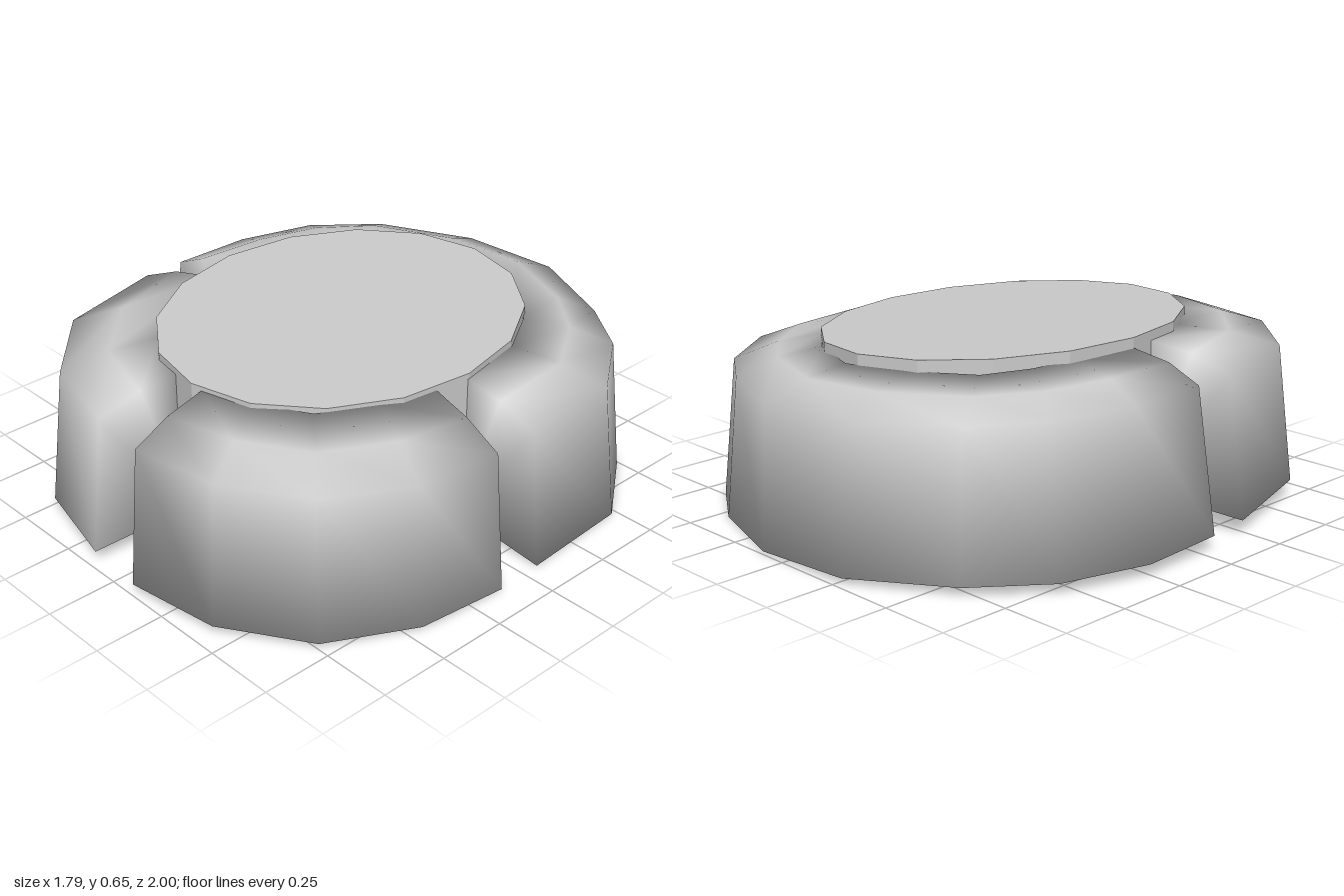
import * as THREE from 'three';

const material = new THREE.MeshStandardMaterial({ color: 0xcccccc });
const flatMaterial = new THREE.MeshStandardMaterial({ color: 0xcccccc, flatShading: true });

// Seat cross-section: [share of the way from inner to outer edge, height]
const profile = (rim) => [[-0.1, 0.08], [-0.07, 0.605], [0.4, 0.577], [rim, 0.52], [1, 0.033]];

// Each seat runs anticlockwise seen from above; stations are
// [innerX, innerZ, outerX, outerZ, share at which the top rim sits]
const SEATS = {
  backSeat: [
    [0.57, -0.04, 0.88, -0.06], [0.53, -0.32, 0.85, -0.48], [0.42, -0.5, 0.66, -0.74],
    [0.27, -0.63, 0.45, -0.88], [0.03, -0.72, 0.1, -1, 0.92], [-0.2, -0.66, -0.27, -0.98],
    [-0.42, -0.54, -0.6, -0.79], [-0.5, -0.38, -0.8, -0.57, 0.8], [-0.53, -0.2, -0.9, -0.27, 0.76],
    [-0.56, 0.03, -0.89, 0.05, 0.76],
  ],
  frontRightSeat: [
    [-0.54, 0.14, -0.87, 0.22, 0.8], [-0.47, 0.37, -0.74, 0.65],
    [-0.3, 0.57, -0.46, 0.9], [-0.07, 0.65, -0.12, 0.98],
  ],
  frontLeftSeat: [
    [0.07, 0.68, 0.1, 0.995], [0.25, 0.61, 0.43, 0.94], [0.42, 0.5, 0.71, 0.75],
    [0.52, 0.3, 0.86, 0.45], [0.56, 0.09, 0.89, 0.12],
  ],
};

function createSeat(name, stations) {
  const n = profile(0).length;
  const positions = [];
  const index = [];
  for (const [ix, iz, ox, oz, rim = 0.85] of stations) {
    for (const [t, h] of profile(rim)) {
      const x = ix + (ox - ix) * t;
      const z = iz + (oz - iz) * t;
      positions.push(x, h - 0.025 * x + 0.015 * z, z); // slight lean of the whole ring
    }
  }

  // Skin around the section
  for (let i = 0; i < stations.length - 1; i++) {
    for (let j = 0; j < n; j++) {
      const k = (j + 1) % n;
      const a = i * n + j, b = i * n + k, c = b + n, d = a + n;
      index.push(a, b, c, a, c, d);
    }
  }

  // End caps share the skin's vertices, so the ends shade softly
  const last = (stations.length - 1) * n;
  for (let j = 1; j < n - 1; j++) {
    index.push(0, j + 1, j, last, last + j, last + j + 1);
  }

  const geometry = new THREE.BufferGeometry();
  geometry.setAttribute('position', new THREE.Float32BufferAttribute(positions, 3));
  geometry.setIndex(index);
  geometry.computeVertexNormals();
  const mesh = new THREE.Mesh(geometry, material);
  mesh.name = name;
  return mesh;
}

// Oval drum table with sixteen flat sides, leaning slightly
function createTable() {
  const geometry = new THREE.CylinderGeometry(1, 1, 0.49, 16, 1, false, 0.05);
  geometry.scale(0.558, 1, 0.682);
  geometry.translate(0.005, 0.386, -0.01);
  const p = geometry.attributes.position;
  for (let i = 0; i < p.count; i++) p.setY(i, p.getY(i) - 0.04 * p.getX(i));
  geometry.computeVertexNormals();
  const mesh = new THREE.Mesh(geometry, flatMaterial);
  mesh.name = 'ovalTable';
  return mesh;
}

export function createModel() {
  const model = new THREE.Group();
  model.name = 'tableWithRingSeating';
  model.add(createTable());
  for (const [name, stations] of Object.entries(SEATS)) model.add(createSeat(name, stations));
  return model;
}
